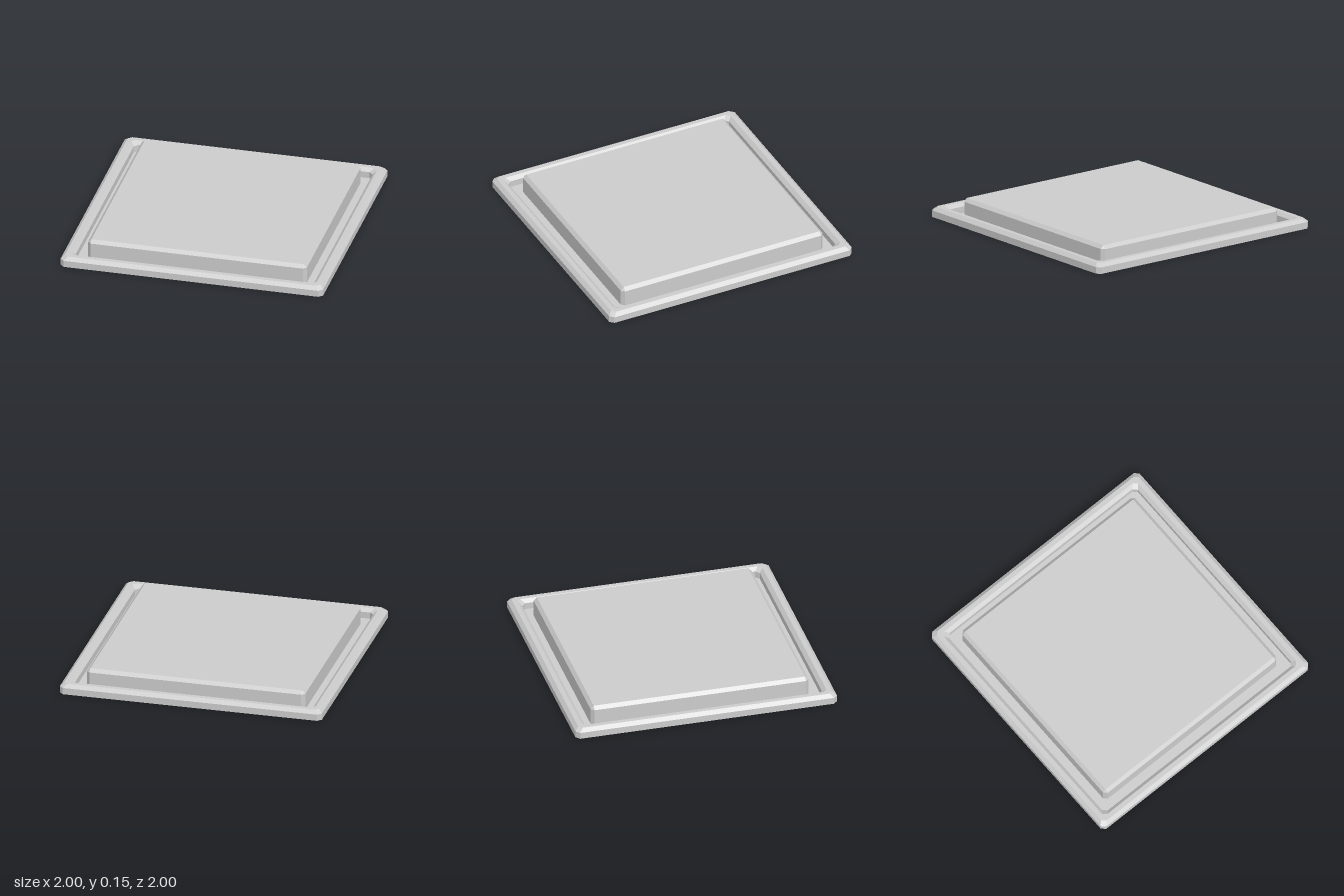
import * as THREE from 'three';

// Square outline of half width h with corners cut by c, at height y
function outline([h, c, y]) {
  const k = h - c;
  return [[h, -k], [h, k], [k, h], [-k, h], [-h, k], [-h, -k], [-k, -h], [k, -h]]
    .map(([x, z]) => new THREE.Vector3(x, y, z));
}

// Flat-faced skin through successive outlines, closed by a face on the last one
function loft(sections) {
  const rings = sections.map(outline);
  const points = [];
  for (let i = 0; i < rings.length - 1; i++) {
    for (let j = 0; j < 8; j++) {
      const k = (j + 1) % 8;
      const a = rings[i][j], b = rings[i][k], c = rings[i + 1][k], d = rings[i + 1][j];
      points.push(a, d, c, a, c, b);
    }
  }
  const last = rings[rings.length - 1];
  const centre = new THREE.Vector3(0, last[0].y, 0);
  for (let j = 0; j < 8; j++) points.push(centre, last[(j + 1) % 8], last[j]);
  const geometry = new THREE.BufferGeometry().setFromPoints(points);
  geometry.computeVertexNormals();
  return geometry;
}

export function createModel() {
  const group = new THREE.Group();
  group.name = 'pressurePlate';
  const material = new THREE.MeshStandardMaterial({
    color: 0xcccccc, flatShading: true, side: THREE.DoubleSide,
  });

  // Thin folded tray: hollow bevelled rim running down to a flat floor
  const tray = new THREE.Mesh(loft([
    [1.0, 0.03, 0],
    [1.0, 0.03, 0.05],
    [0.972, 0.028, 0.075],
    [0.936, 0.028, 0.075],
    [0.909, 0.03, 0.05],
    [0.909, 0.03, 0],
  ]), material);
  tray.name = 'tray';

  // Raised slab with bevelled top and vertical edges, standing on the floor
  const slab = new THREE.Mesh(loft([
    [0.833, 0.025, 0],
    [0.833, 0.025, 0.125],
    [0.808, 0, 0.15],
  ]), material);
  slab.name = 'slab';
  slab.position.z = -0.008;

  group.add(tray, slab);
  return group;
}
